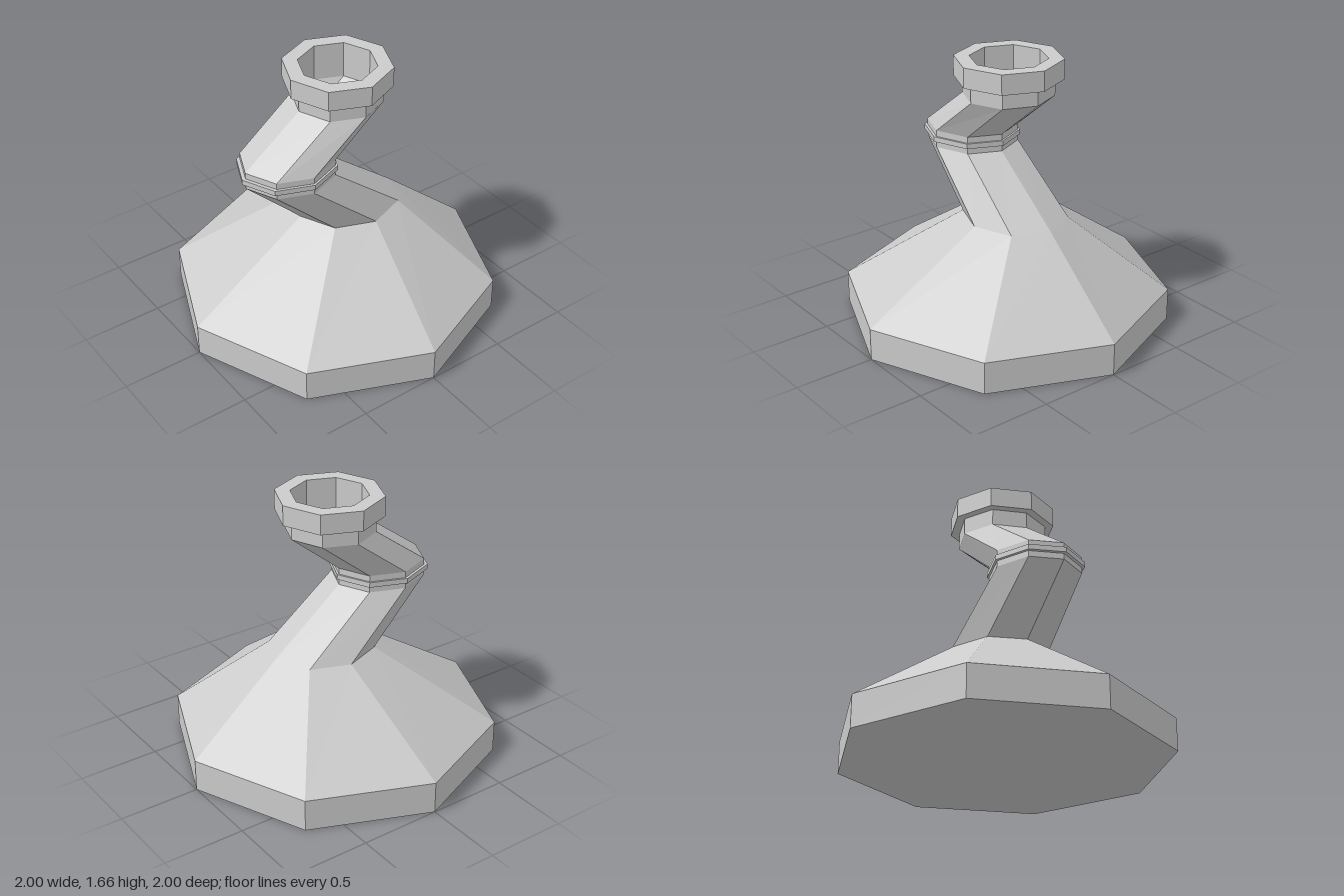
import * as THREE from 'three';

const SIDES = 8;
const material = new THREE.MeshStandardMaterial({ color: 0xcccccc, flatShading: true });

// Lofts octagonal rings given as [y, centre z, radius x, radius z]; radius 0 closes an end.
// Rings going upward face outward, rings going downward face inward.
function loft(name, rings) {
  const point = ([y, cz, rx, rz], i) => {
    const a = (i / SIDES) * Math.PI * 2;
    return [rx * Math.sin(a), y, cz + rz * Math.cos(a)];
  };
  const positions = [];
  for (let k = 0; k < rings.length - 1; k++) {
    const lower = rings[k], upper = rings[k + 1];
    for (let i = 0; i < SIDES; i++) {
      const a = point(lower, i), b = point(lower, i + 1);
      const c = point(upper, i + 1), d = point(upper, i);
      if (lower[2] > 0) positions.push(...a, ...b, ...c);
      if (upper[2] > 0) positions.push(...(lower[2] > 0 ? a : b), ...c, ...d);
    }
  }
  const geometry = new THREE.BufferGeometry();
  geometry.setAttribute('position', new THREE.Float32BufferAttribute(positions, 3));
  geometry.computeVertexNormals();
  const mesh = new THREE.Mesh(geometry, material);
  mesh.name = name;
  return mesh;
}

export function createModel() {
  const model = new THREE.Group();
  model.name = 'crookedFunnel';

  // Ring where the skirt meets the neck, the elbow, and the upper bend
  const shoulder = [0.69, -0.09, 0.305, 0.335];
  const elbow = (y) => [y, 0.33, 0.27, 0.29];
  const top = (y) => [y, -0.025, 0.275, 0.27];

  // Wide plinth and sloping skirt
  model.add(loft('base', [
    [0, 0, 0, 0], [0, 0, 1, 1], [0.2, 0, 1, 1], shoulder,
  ]));

  // Zigzag neck leaning forward, then back
  model.add(loft('neck', [
    shoulder, elbow(1.053), elbow(1.16), top(1.435), top(1.537),
  ]));

  // Thin band around the elbow
  model.add(loft('collar', [
    elbow(1.09), [1.09, 0.335, 0.285, 0.308], [1.122, 0.335, 0.285, 0.308], elbow(1.122),
  ]));

  // Flared rim with its open mouth
  model.add(loft('rim', [
    top(1.537), [1.537, -0.027, 0.326, 0.324],
    [1.66, -0.027, 0.326, 0.324], [1.66, -0.027, 0.232, 0.232],
  ]));

  // Hollow following the neck down to a floor
  model.add(loft('bore', [
    [1.66, -0.027, 0.232, 0.232], [1.435, -0.027, 0.232, 0.232],
    [1.16, 0.33, 0.225, 0.245], [1.053, 0.33, 0.225, 0.245],
    [0.69, -0.09, 0.25, 0.26], [0.69, -0.09, 0, 0],
  ]));

  return model;
}
